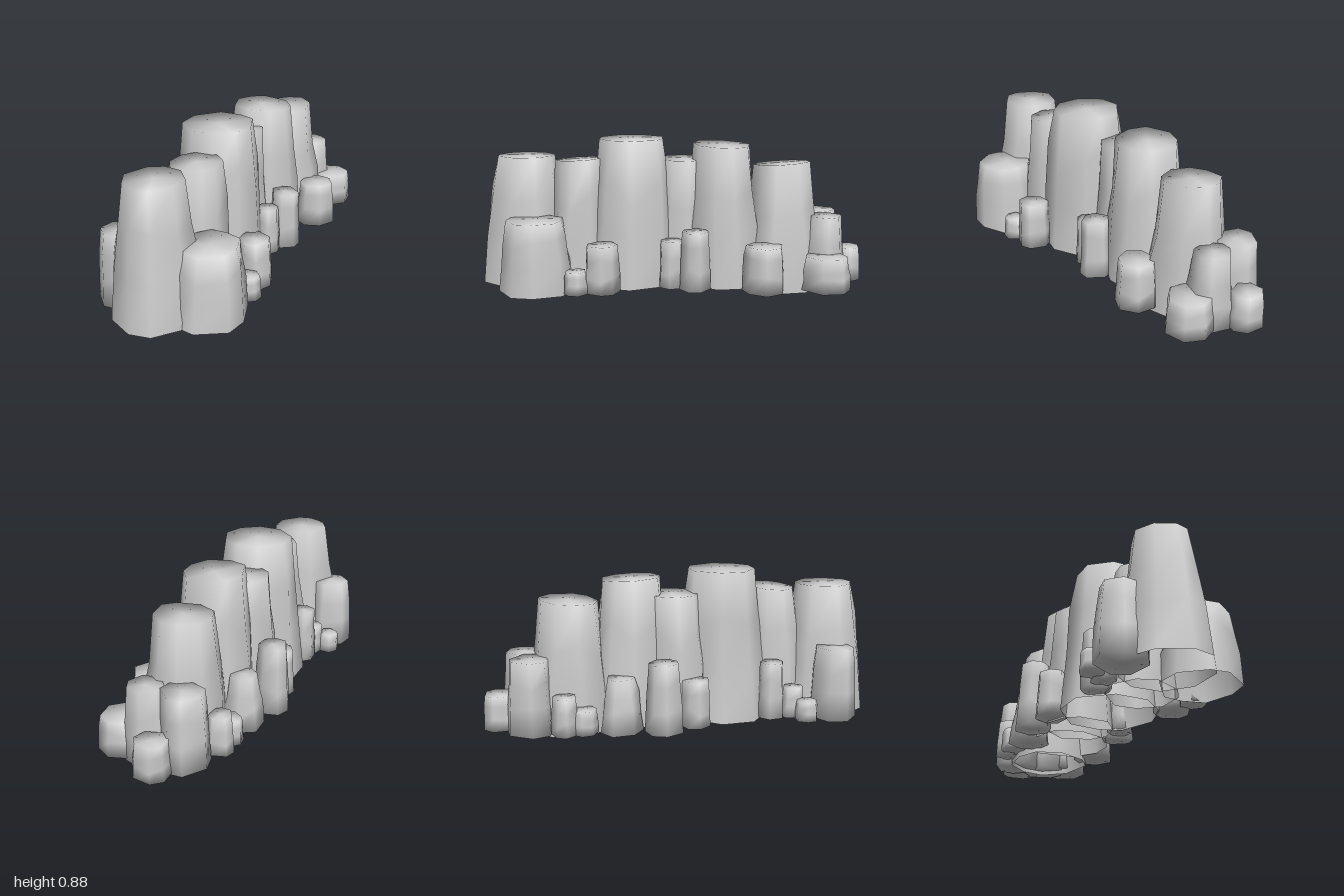
import * as THREE from 'three';

// Small seeded random generator so each rock keeps its own shape
function seeded(seed) {
  let s = seed * 7919 + 17;
  return () => {
    s = (s * 16807) % 2147483647;
    return s / 2147483647;
  };
}

// Irregular column lofted from polygon rings, with a slightly tilted top and an optional base
function rockGeometry({ x, z, r, topX = x, topZ = z, topR, y0 = 0.025, h, tilt = 0, sides, seed, wobble, closed }) {
  const rnd = seeded(seed);
  rnd(); rnd();
  const spin = rnd() * Math.PI * 2;
  const corner = Array.from({ length: sides }, () => ({
    a: (rnd() - 0.5) * 0.3,
    k: 0.97 + rnd() * 0.12,
  }));
  const levels = [0, 0.36, 0.68, 1];
  const pos = [], index = [];
  levels.forEach((t, row) => {
    const cx = THREE.MathUtils.lerp(x, topX, t);
    const cz = THREE.MathUtils.lerp(z, topZ, t);
    // Walls stay steep low down and draw in towards the top
    const radius = THREE.MathUtils.lerp(r, topR, t ** 1.4);
    const inner = row === 1 || row === 2;
    for (let i = 0; i < sides; i++) {
      const a = spin + (i / sides) * Math.PI * 2 + corner[i].a;
      const k = radius * corner[i].k * (inner ? 1 + (rnd() - 0.5) * wobble : 1);
      const dx = Math.cos(a) * k;
      const y = y0 + (h - y0) * (inner ? t + (rnd() - 0.5) * 0.2 : t);
      pos.push(cx + dx, y + (row === 3 ? dx * tilt : 0), cz + Math.sin(a) * k);
    }
  });
  for (let row = 0; row < levels.length - 1; row++) {
    for (let i = 0; i < sides; i++) {
      const j = (i + 1) % sides;
      const a = row * sides + i, b = row * sides + j;
      index.push(a, a + sides, b, b, a + sides, b + sides);
    }
  }
  // Top cap
  const top = (levels.length - 1) * sides;
  const centre = pos.length / 3;
  pos.push(topX, h, topZ);
  for (let i = 0; i < sides; i++) index.push(top + i, centre, top + (i + 1) % sides);
  // Base cap
  if (closed) {
    pos.push(x, y0, z);
    for (let i = 0; i < sides; i++) index.push(i, (i + 1) % sides, centre + 1);
  }

  const geo = new THREE.BufferGeometry();
  geo.setAttribute('position', new THREE.Float32BufferAttribute(pos, 3));
  geo.setIndex(index);
  geo.computeVertexNormals();
  return geo;
}

export function createModel() {
  const group = new THREE.Group();
  group.name = 'rockWall';
  const stone = new THREE.MeshStandardMaterial({ color: 0xcccccc, side: THREE.DoubleSide });

  const addRock = (name, options) => {
    const mesh = new THREE.Mesh(rockGeometry(options), stone);
    mesh.name = name;
    group.add(mesh);
  };

  // Open-bottomed pillars along the diagonal ridge, and the low one in front
  const pillars = [
    { x: -0.75, z: 0.41, r: 0.25, topX: -0.74, topZ: 0.4, topR: 0.16, h: 0.78 },
    { x: -0.46, z: 0.27, r: 0.19, topX: -0.44, topZ: 0.27, topR: 0.135, h: 0.765, tilt: 0.07 },
    { x: -0.23, z: 0.08, r: 0.265, topX: -0.21, topZ: 0.08, topR: 0.19, h: 0.885 },
    { x: 0.0, z: -0.12, r: 0.19, topX: 0.02, topZ: -0.13, topR: 0.15, h: 0.76 },
    { x: 0.26, z: -0.24, r: 0.235, topX: 0.245, topZ: -0.22, topR: 0.168, h: 0.85, tilt: -0.05 },
    { x: 0.54, z: -0.4, r: 0.23, topX: 0.53, topZ: -0.41, topR: 0.158, y0: 0, h: 0.74, tilt: 0.08 },
    { x: -0.525, z: 0.57, r: 0.205, topX: -0.52, topZ: 0.58, topR: 0.155, h: 0.44 },
  ];
  pillars.forEach((p, i) => addRock('pillar' + (i + 1), { ...p, sides: 9, seed: i + 3, wobble: 0.1 }));

  // Half-height shoulder rocks: x, z, base radius, top radius, height
  const shoulders = [
    [-0.86, 0.21, 0.135, 0.105, 0.44],
    [0.66, -0.64, 0.135, 0.11, 0.44],
    [0.79, -0.49, 0.13, 0.095, 0.44],
    [-0.03, -0.39, 0.105, 0.08, 0.42],
    [0.2, -0.46, 0.12, 0.075, 0.33],
  ];
  shoulders.forEach(([x, z, r, topR, h], i) =>
    addRock('shoulderRock' + (i + 1), { x, z, r, topR, h, sides: 7, seed: i + 22, wobble: 0.1, closed: true }));

  // Small rocks around the foot: x, z, radius, height
  const footRocks = [
    [-0.165, 0.415, 0.1, 0.31], [-0.265, 0.53, 0.07, 0.165],
    [0.1, 0.1, 0.075, 0.31], [0.24, 0.065, 0.09, 0.375],
    [0.59, -0.125, 0.12, 0.3], [0.865, -0.36, 0.135, 0.23],
    [0.85, -0.665, 0.1, 0.23], [0.45, -0.65, 0.077, 0.25],
    [0.36, -0.59, 0.075, 0.17], [-0.17, -0.26, 0.09, 0.3],
    [-0.53, 0.04, 0.08, 0.36], [-0.645, 0.095, 0.068, 0.21],
    [-0.74, 0.05, 0.068, 0.15],
  ];
  footRocks.forEach(([x, z, r, h], i) =>
    addRock('footRock' + (i + 1), {
      x, z, r, topR: r * 0.85, h, y0: 0.035, sides: 7, seed: i + 41, wobble: 0.12, closed: true,
    }));

  return group;
}
